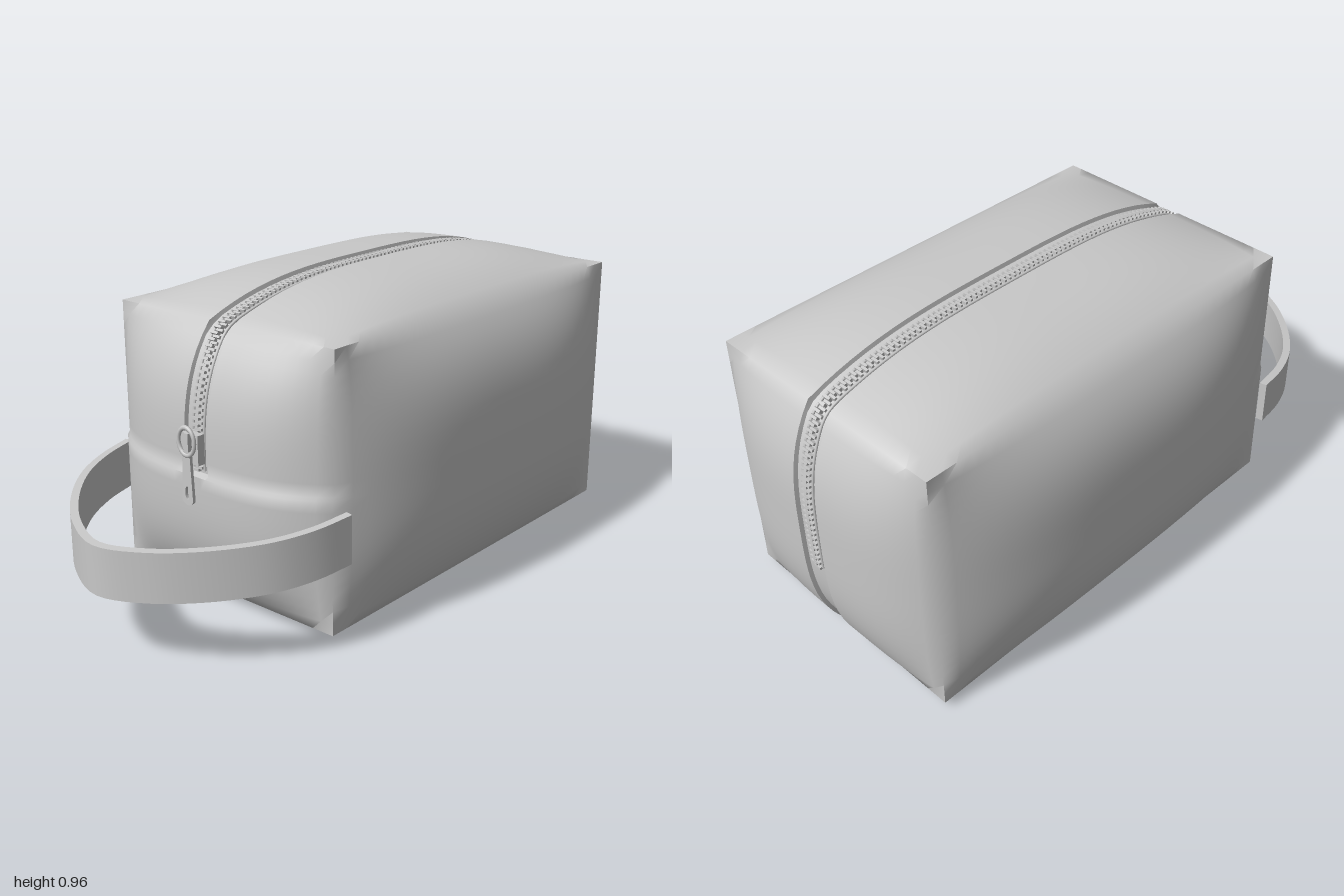
import * as THREE from 'three';
import { mergeGeometries, toCreasedNormals } from 'three/addons/utils/BufferGeometryUtils.js';

const GROOVE = 0.013; // depth of the zipper channel
const lin = (a, b, n) => Array.from({ length: n + 1 }, (_, i) => a + (b - a) * i / n);

// Pillow-shaped box: straight edges between eight corners, each face puffed outward
function surface(u, v, w) {
  const f = (t, e = 3.2) => 1 - Math.abs(t) ** e;
  let x = 0.205 + 0.705 * u, y = 0.45 + 0.42 * v, z = 0.42 * w;
  if (u >= 1) x += 0.09 * f(v) * f(w);
  if (u <= -1) x -= 0.115 * f(v) * f(w);
  if (v >= 1) y += 0.09 * f(u) * f(w);
  if (v <= -1) y -= 0.03 * f(u, 8) * f(w, 8);
  if (Math.abs(w) >= 1) z += Math.sign(w) * 0.113 * f(u) * f(v);
  return new THREE.Vector3(x, y, z);
}

// Bag shell with a recessed zipper channel and a raised lower end panel
function bodyGeometry() {
  const U = lin(-1, 1, 28);
  const V = [...lin(-1, -0.02, 11), ...lin(0, 1, 11)];
  const W = [...lin(-1, -0.112, 10), ...lin(-0.104, 0.104, 4), ...lin(0.112, 1, 10)];
  const geo = new THREE.BoxGeometry(2, 2, 2, U.length - 1, V.length - 1, W.length - 1);
  const pos = geo.attributes.position;
  const pick = (cuts, c) => cuts[Math.round((c + 1) / 2 * (cuts.length - 1))];
  for (let i = 0; i < pos.count; i++) {
    const u = pick(U, pos.getX(i)), v = pick(V, pos.getY(i)), w = pick(W, pos.getZ(i));
    const p = surface(u, v, w);
    const inside = Math.abs(w) < 0.108;
    if (inside && v >= 1) p.y -= GROOVE;
    if (inside && u >= 1) p.x -= GROOVE;
    if (u <= -1) {
      if (v < -0.01) p.x -= 0.008;
      else if (inside) p.x += GROOVE;
    }
    pos.setXYZ(i, p.x, p.y, p.z);
  }
  return toCreasedNormals(geo, 1.1);
}

// Zipper line: up the left end, over the top, down the right end
function zipperCurve() {
  const pts = [];
  for (const v of lin(0.02, 0.93, 6)) pts.push(surface(-1, v, 0).add(new THREE.Vector3(GROOVE, 0, 0)));
  for (const u of lin(-0.97, 0.97, 14)) pts.push(surface(u, 1, 0).add(new THREE.Vector3(0, -GROOVE, 0)));
  for (const v of lin(0.93, -0.25, 8)) pts.push(surface(1, v, 0).add(new THREE.Vector3(-GROOVE, 0, 0)));
  return new THREE.CatmullRomCurve3(pts);
}

// Interlocking teeth, alternating from side to side
function teethGeometry(curve) {
  const count = 250, parts = [];
  for (let i = 0; i <= count; i++) {
    const t = i / count, p = curve.getPointAt(t), d = curve.getTangentAt(t);
    const g = new THREE.BoxGeometry(0.008, 0.014, 0.026);
    g.translate(0, 0.004, i % 2 ? 0.007 : -0.007);
    g.rotateZ(Math.atan2(d.y, d.x));
    g.translate(p.x, p.y, p.z);
    parts.push(g);
  }
  return mergeGeometries(parts);
}

// Curved carrying strap, sloping down away from the bag
function strapGeometry() {
  const half = [[-0.48, 0.466], [-0.6, 0.443], [-0.72, 0.39], [-0.85, 0.28], [-0.95, 0.145]];
  const all = [...half, [-1, 0], ...half.map(([x, z]) => [x, -z]).reverse()];
  const curve = new THREE.CatmullRomCurve3(all.map(([x, z]) => new THREE.Vector3(x, z, 0)));
  const outer = [], inner = [];
  for (const t of lin(0, 1, 48)) {
    const p = curve.getPointAt(t), d = curve.getTangentAt(t);
    outer.push(new THREE.Vector2(p.x, p.y));
    inner.unshift(new THREE.Vector2(p.x - d.y * 0.024, p.y + d.x * 0.024));
  }
  const geo = new THREE.ExtrudeGeometry(new THREE.Shape([...outer, ...inner]),
    { depth: 0.148, bevelEnabled: false });
  geo.rotateX(Math.PI / 2);
  const pos = geo.attributes.position;
  for (let i = 0; i < pos.count; i++) pos.setY(i, pos.getY(i) + 0.406 + 0.09 * (pos.getX(i) + 0.48));
  return toCreasedNormals(geo, 0.7);
}

// Flat pull tab with a slot near its lower end
function tabGeometry() {
  const s = new THREE.Shape();
  s.moveTo(-0.014, 0);
  s.lineTo(-0.022, -0.15);
  s.quadraticCurveTo(0, -0.175, 0.022, -0.15);
  s.lineTo(0.014, 0);
  s.closePath();
  const hole = new THREE.Path();
  hole.absellipse(0, -0.125, 0.009, 0.02, 0, Math.PI * 2, true);
  s.holes.push(hole);
  const geo = new THREE.ExtrudeGeometry(s, { depth: 0.01, bevelEnabled: false });
  geo.translate(0, 0, -0.005);
  return geo.rotateY(-Math.PI / 2);
}

export function createModel() {
  const model = new THREE.Group();
  model.name = 'zippedPouch';
  const grey = new THREE.MeshStandardMaterial({ color: 0xc8c8c8 });
  grey.name = 'lightGrey';
  const add = (name, geo, parent = model) => {
    const mesh = new THREE.Mesh(geo, grey);
    mesh.name = name;
    parent.add(mesh);
    return mesh;
  };

  add('bagBody', bodyGeometry());
  add('strap', strapGeometry());

  // Zipper chain with a cord along each side
  const zipper = new THREE.Group();
  zipper.name = 'zipper';
  model.add(zipper);
  const line = zipperCurve();
  add('zipperTeeth', teethGeometry(line), zipper);
  for (const side of [-1, 1]) {
    const cord = add('zipperCord', new THREE.TubeGeometry(line, 120, 0.005, 6), zipper);
    cord.position.z = side * 0.022;
  }

  // Slider, ring and hanging pull tab on the left end
  const pull = new THREE.Group();
  pull.name = 'zipperPull';
  model.add(pull);
  add('slider', new THREE.BoxGeometry(0.026, 0.09, 0.066), pull).position.set(-0.625, 0.53, 0);
  add('sliderBridge', new THREE.BoxGeometry(0.016, 0.06, 0.018), pull).position.set(-0.645, 0.55, 0);
  const ring = add('pullRing', new THREE.TorusGeometry(0.032, 0.006, 8, 24), pull);
  ring.rotation.set(0, Math.PI / 2, 0);
  ring.scale.y = 1.3;
  ring.position.set(-0.65, 0.555, 0);
  const tab = add('pullTab', tabGeometry(), pull);
  tab.position.set(-0.648, 0.525, 0);
  return model;
}
